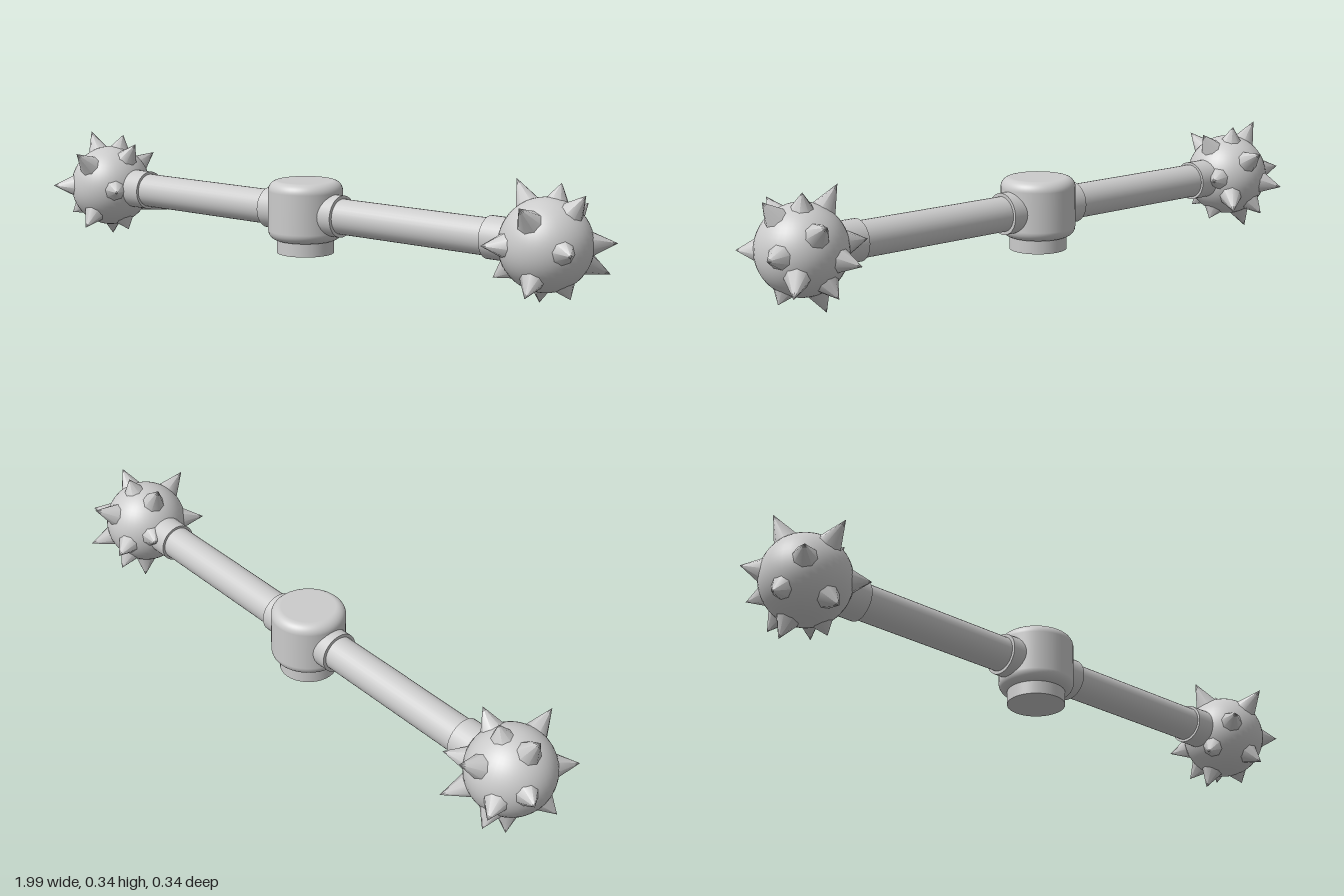
import * as THREE from 'three';

const material = new THREE.MeshStandardMaterial({ color: 0xcccccc });
const AXIS_Y = 0.174, BALL_X = 0.834, BALL_R = 0.13;

// Spike tips relative to the ball centre
const TIPS = [
  [0.01, 0.122, 0.161], [-0.107, 0.17, -0.018], [0.02, 0.166, -0.042],
  [0.118, 0.146, 0], [0.03, 0.095, -0.175], [-0.08, -0.029, -0.17],
  [0.12, -0.089, -0.145], [-0.03, -0.118, -0.13], [-0.043, -0.174, -0.047],
  [0.02, -0.123, 0.138], [-0.11, 0.007, 0.155], [0.14, 0, 0.11],
  [0.166, 0.01, -0.095], [0.08, -0.141, 0], [-0.16, 0.02, -0.08],
  [-0.135, -0.1, 0.05],
];

function add(parent, name, geometry, x = 0, y = 0, z = 0) {
  const mesh = new THREE.Mesh(geometry, material);
  mesh.name = name;
  mesh.position.set(x, y, z);
  parent.add(mesh);
  return mesh;
}

// Horizontal cylinder between two x positions
function rod(parent, name, radius, x0, x1) {
  const mesh = add(parent, name, new THREE.CylinderGeometry(radius, radius, Math.abs(x1 - x0), 32), (x0 + x1) / 2, AXIS_Y);
  mesh.rotation.z = Math.PI / 2;
}

function spikedBall(name) {
  const ball = new THREE.Group();
  ball.name = name;
  add(ball, 'ball', new THREE.SphereGeometry(BALL_R, 40, 28));
  const up = new THREE.Vector3(0, 1, 0);
  for (const t of TIPS) {
    const tip = new THREE.Vector3(...t);
    const length = tip.length(), dir = tip.clone().normalize();
    const base = 0.11;
    const spike = add(ball, 'spike', new THREE.ConeGeometry(0.042, length - base, 8));
    spike.position.copy(dir).multiplyScalar((length + base) / 2);
    spike.quaternion.setFromUnitVectors(up, dir);
  }
  return ball;
}

export function createModel() {
  const model = new THREE.Group();
  model.name = 'spikedBar';
  const body = new THREE.Group();
  body.name = 'body';
  body.position.z = 0.005;
  model.add(body);

  // Central hub with rounded rims
  const R = 0.113, TOP = 0.27, BOTTOM = 0.09, r = 0.03;
  const outline = new THREE.Path();
  outline.moveTo(0, BOTTOM);
  outline.lineTo(R - r, BOTTOM);
  outline.absarc(R - r, BOTTOM + r, r, -Math.PI / 2, 0, false);
  outline.lineTo(R, TOP - r);
  outline.absarc(R - r, TOP - r, r, 0, Math.PI / 2, false);
  outline.lineTo(0, TOP);
  add(body, 'hub', new THREE.LatheGeometry(outline.getPoints(8), 48));
  add(body, 'base', new THREE.CylinderGeometry(0.087, 0.087, 0.06, 48), 0, 0.08);

  // Arms, collars and spiked balls on both sides
  for (const s of [1, -1]) {
    const side = s > 0 ? 'left' : 'right';
    rod(body, side + 'Arm', 0.053, s * 0.05, s * 0.78);
    rod(body, side + 'HubCollar', 0.063, s * 0.06, s * 0.14);
    rod(body, side + 'BallCollar', 0.061, s * 0.655, s * 0.76);
    const ball = spikedBall(side + 'SpikedBall');
    ball.position.set(s * BALL_X, AXIS_Y, 0.002);
    body.add(ball);
  }
  return model;
}
